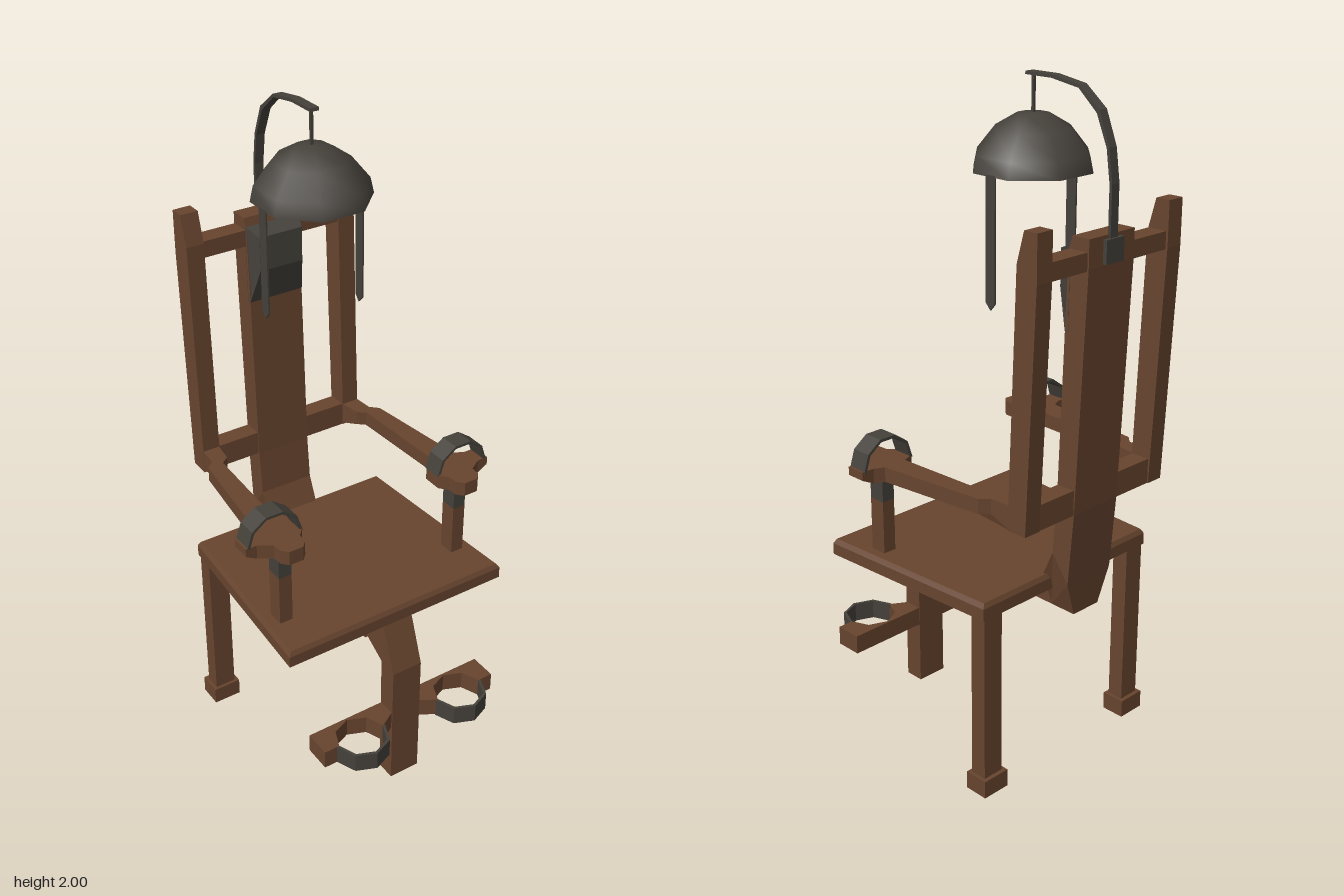
import * as THREE from 'three';

export function createModel() {
  const model = new THREE.Group();
  const mat = (name, color) => {
    const m = new THREE.MeshStandardMaterial({ color, side: THREE.DoubleSide });
    m.name = name;
    return m;
  };
  const wood = mat('brown wood', 0x67442e);
  const metal = mat('dark metal', 0x45413b);
  const shade = mat('dark underside', 0x2f2b27);

  const add = (name, geo, material) => {
    const mesh = new THREE.Mesh(geo, material);
    mesh.name = name;
    model.add(mesh);
    return mesh;
  };
  const shapeOf = (pts) => new THREE.Shape(pts.map(([a, b]) => new THREE.Vector2(a, b)));
  const extrude = (pts, depth) =>
    new THREE.ExtrudeGeometry(shapeOf(pts), { depth, bevelEnabled: false });
  // box given by its limits
  const box = (name, x0, x1, y0, y1, z0, z1, material) =>
    add(name, new THREE.BoxGeometry(x1 - x0, y1 - y0, z1 - z0)
      .translate((x0 + x1) / 2, (y0 + y1) / 2, (z0 + z1) / 2), material);
  // profile of [z, y] points, extruded along x
  const side = (pts, xc, width) =>
    extrude(pts, width).translate(0, 0, -width / 2).rotateY(-Math.PI / 2).translate(xc, 0, 0);
  // outline of [x, z] points, extruded downwards from yTop
  const plan = (pts, yTop, height) =>
    extrude(pts, height).rotateX(Math.PI / 2).translate(0, yTop, 0);
  // move vertices by a rule and keep the faces flat
  const reshape = (geo, rule) => {
    const g = geo.index ? geo.toNonIndexed() : geo;
    const p = g.attributes.position;
    const v = new THREE.Vector3();
    for (let i = 0; i < p.count; i++) {
      rule(v.fromBufferAttribute(p, i));
      p.setXYZ(i, v.x, v.y, v.z);
    }
    g.computeVertexNormals();
    return g;
  };
  // points on a half circle, and a thin half band made of two of them
  const arc = (cx, cy, r, n, from = 0) => Array.from({ length: n + 1 }, (_, i) => {
    const a = from + (Math.PI * i) / n;
    return [cx + r * Math.cos(a), cy + r * Math.sin(a)];
  });
  const band = (cx, cy, r, t, n) => [...arc(cx, cy, r, n), ...arc(cx, cy, r - t, n).reverse()];

  // Seat: tapered to the back, with a small chamfer on top
  const seat = reshape(new THREE.BoxGeometry(2, 0.05, 0.605, 1, 2, 1), (v) => {
    const k = v.y > 0.02 ? 0.975 : 1;
    if (Math.abs(v.y) < 0.001) v.y = 0.011;
    v.x *= (v.z > 0 ? 0.375 : 0.338) * k;
    v.z *= k;
  }).translate(0, 0.597, -0.0125);
  add('seat', seat, [wood, wood, wood, shade, wood, wood]);

  // Front leg bending into the beam under the seat
  add('frontLeg', side([[0.34, 0], [0.34, 0.42], [0.285, 0.572], [-0.34, 0.572], [-0.34, 0.51],
    [0.14, 0.51], [0.278, 0.43], [0.278, 0]], 0, 0.1), wood);

  // Back spine, narrower at its foot
  const spine = side([[-0.30, 0.51], [-0.30, 0.62], [-0.335, 0.70], [-0.347, 0.84], [-0.373, 1.58],
    [-0.385, 1.62], [-0.443, 1.62], [-0.443, 1.54], [-0.412, 0.84], [-0.394, 0.62],
    [-0.386, 0.51]], 0, 0.176);
  add('backSpine', reshape(spine, (v) => { if (v.y < 0.56) v.x *= 0.57; }), wood);

  // Cross rails of the back
  box('upperRail', -0.23, 0.23, 1.535, 1.585, -0.438, -0.378, wood);
  box('lowerRail', -0.23, 0.23, 0.84, 0.915, -0.41, -0.352, wood);

  // Head pad with narrowed front
  const pad = side([[-0.378, 1.595], [-0.33, 1.575], [-0.33, 1.47], [-0.365, 1.36],
    [-0.378, 1.36]], 0, 0.177);
  add('headPad', reshape(pad, (v) => { if (v.z > -0.34) v.x *= 0.8; }), metal);

  for (const s of [1, -1]) {
    const mirror = (pts) => pts.map(([x, z]) => [s * x, z]);
    const pair = (name, x0, x1, ...rest) =>
      box(name, Math.min(s * x0, s * x1), Math.max(s * x0, s * x1), ...rest);

    // Rear legs and feet
    pair('rearLeg', 0.265, 0.332, 0, 0.575, -0.312, -0.26, wood);
    pair('rearFoot', 0.253, 0.343, 0, 0.055, -0.325, -0.25, wood);

    // Back posts
    add('backPost', side([[-0.35, 0.84], [-0.35, 0.915], [-0.375, 1.58], [-0.40, 1.67],
      [-0.445, 1.67], [-0.445, 1.54], [-0.413, 0.84]], s * 0.2525, 0.055), wood);

    // Armrests with a wide lug under the cuff
    const arm = plan(mirror([[0.28, -0.36], [0.285, -0.29], [0.31, -0.265], [0.35, 0.07],
      [0.38, 0.085], [0.42, 0.085], [0.42, 0.145], [0.385, 0.145], [0.345, 0.17], [0.343, 0.2],
      [0.325, 0.22], [0.28, 0.22], [0.262, 0.2], [0.26, 0.17], [0.238, 0.145], [0.238, 0.085],
      [0.275, 0.07], [0.26, -0.265], [0.235, -0.285], [0.225, -0.36]]), 0.915, 0.045);
    add('armrest', reshape(arm, (v) => {
      if (v.y < 0.88 && Math.abs(v.x) > 0.4) v.y = 0.89;
      if (v.y < 0.88 && v.z < -0.33) v.y = 0.842;
    }), wood);
    pair('armPost', 0.286, 0.328, 0.61, 0.785, 0.11, 0.163, wood);
    pair('armPostSleeve', 0.286, 0.328, 0.785, 0.872, 0.11, 0.163, metal);
    add('armCuff', extrude(band(s * 0.325, 0.91, 0.09, 0.009, 5), 0.062)
      .translate(0, 0, 0.083), metal);

    // Leg rest with a rounded notch, and its cuff
    const notch = arc(0.18, 0.365, 0.078, 4, Math.PI);
    add('legRest', plan(mirror([[0, 0.28], [0, 0.335], [0.05, 0.335], [0.1, 0.365], ...notch,
      [0.308, 0.365], [0.308, 0.28]]), 0.265, 0.06), wood);
    add('legCuff', plan(band(s * 0.18, 0.365, 0.086, 0.009, 4), 0.265, 0.06), metal);

    // Chin straps hanging from the helmet
    const low = s > 0 ? 1.385 : 1.42;
    add('helmetStrap', side([[-0.14, 1.75], [-0.14, low + 0.02], [-0.158, low],
      [-0.175, low + 0.02], [-0.175, 1.75]], s * 0.156, 0.005), metal);
  }

  // Helmet: eight-sided dome
  const dome = [[0.171, 1.745], [0.161, 1.79], [0.108, 1.855], [0.045, 1.892], [0, 1.895]]
    .map(([r, y]) => new THREE.Vector2(r, y));
  add('helmet', new THREE.LatheGeometry(dome, 8, Math.PI / 8).translate(0, 0, -0.158), metal);
  box('helmetRod', -0.004, 0.004, 1.89, 1.998, -0.162, -0.154, metal);

  // Curved strip holding the helmet, fixed to the spine
  const outer = [[-0.142, 2], [-0.235, 2], [-0.33, 1.985], [-0.40, 1.93], [-0.436, 1.84],
    [-0.449, 1.75], [-0.449, 1.55]];
  const inner = outer.map(([z, y], i) => [z + (i > 2 ? 0.009 : 0.002), y - (i < 4 ? 0.009 : 0.002)]);
  add('helmetArm', side([...outer, ...inner.reverse()], 0, 0.028), metal);
  box('helmetArmBracket', -0.034, 0.034, 1.545, 1.61, -0.455, -0.438, metal);

  return model;
}
